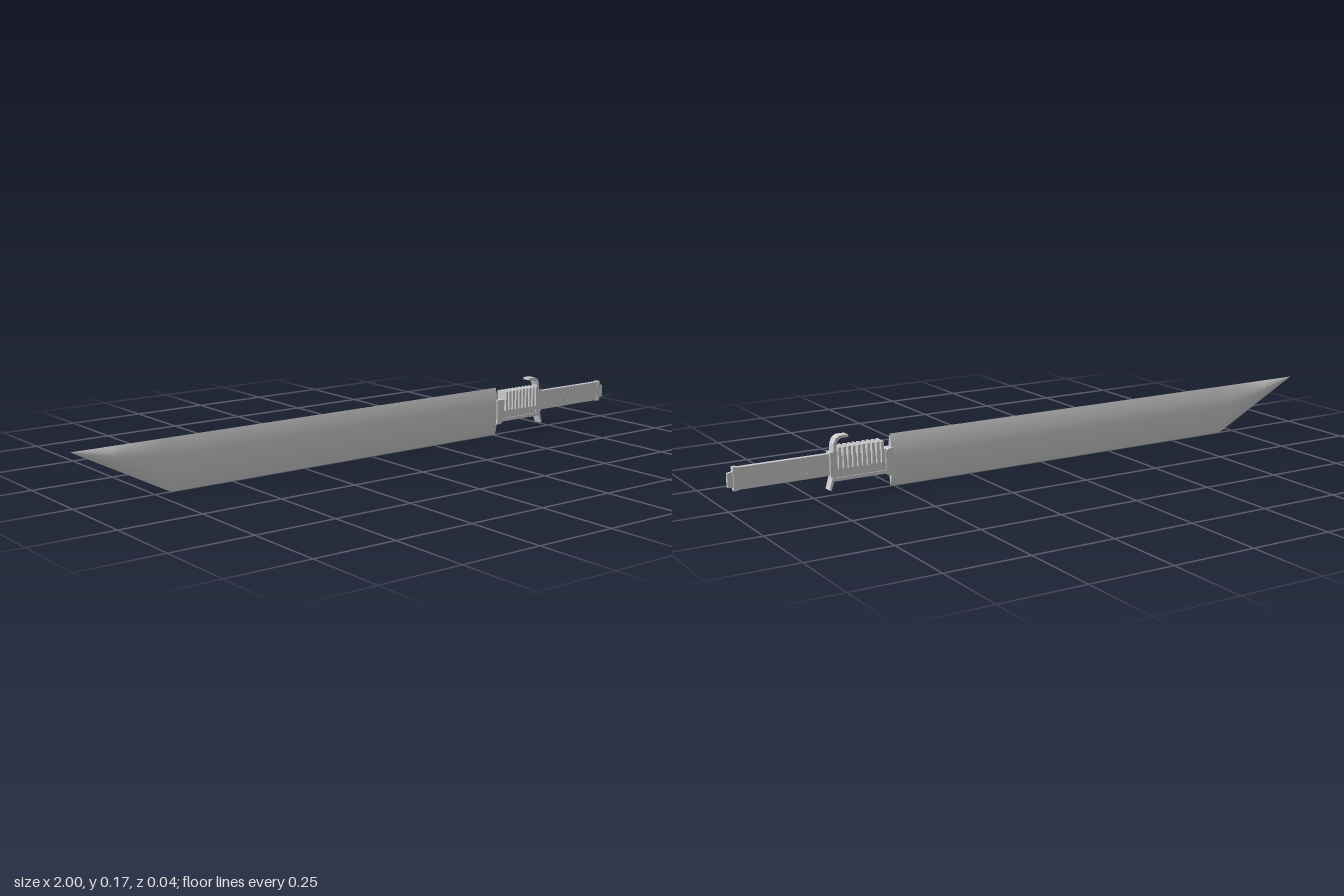
import * as THREE from 'three';
import { ParametricGeometry } from 'three/addons/geometries/ParametricGeometry.js';

const TOP = 0.155, TIP = -1, HEEL = -0.7, END = 0.51, THICK = 0.012;

export function createModel() {
  const model = new THREE.Group();
  const mat = new THREE.MeshStandardMaterial({ color: 0xcccccc });
  const flat = new THREE.MeshStandardMaterial({ color: 0xcccccc, flatShading: true });

  const add = (name, geometry, material = flat) => {
    const mesh = new THREE.Mesh(geometry, material);
    mesh.name = name;
    model.add(mesh);
    return mesh;
  };
  // Box given by its x range, y range and half depth
  const box = (name, x0, x1, y0, y1, hz, z = 0) =>
    add(name, new THREE.BoxGeometry(x1 - x0, y1 - y0, hz * 2))
      .position.set((x0 + x1) / 2, (y0 + y1) / 2, z);
  // Side outline extruded through the depth
  const plate = (name, points, hz) => {
    const shape = new THREE.Shape(points.map(([x, y]) => new THREE.Vector2(x, y)));
    const g = new THREE.ExtrudeGeometry(shape, { depth: hz * 2, bevelEnabled: false });
    return add(name, g.translate(0, 0, -hz));
  };

  // Blade: lens-shaped section, sharp along both edges, cut slanting to the tip
  const lens = (t) => 4 * t * (1 - t) * THICK;
  const bladeSide = (side) => (u, v, target) => {
    const s = side > 0 ? u : 1 - u;
    const k = Math.max(0.002, Math.min(1, s * 2));
    const x = s < 0.5 ? TIP + (HEEL - TIP) * s * 2 : HEEL + (END - HEEL) * (s * 2 - 1);
    const y = TOP * (1 - k) + TOP * k * v;
    target.set(x, y, side * lens(v) * Math.min(1, k / 0.4));
  };
  add('bladeFront', new ParametricGeometry(bladeSide(1), 40, 16), mat);
  add('bladeBack', new ParametricGeometry(bladeSide(-1), 40, 16), mat);
  add('bladeHeel', new ParametricGeometry(
    (u, v, p) => p.set(END, TOP * v, (1 - 2 * u) * lens(v)), 2, 16));

  // Collar and core of the grip
  plate('collar', [[0.505, 0.036], [0.522, 0.036], [0.53, 0.046], [0.53, 0.108],
    [0.522, 0.116], [0.505, 0.116]], 0.016);
  box('gripCore', 0.525, 0.69, 0.05, 0.114, 0.012);
  box('gripRail', 0.525, 0.695, 0.043, 0.053, 0.015);

  // Cooling-fin style ribs
  for (let i = 0; i < 10; i++) {
    const x = 0.538 + i * 0.0148;
    box('gripRib', x, x + 0.008, 0.078, 0.141, 0.021);
  }

  // Hooked guard
  plate('guard', [[0.645, 0.173], [0.672, 0.173], [0.684, 0.166], [0.691, 0.15],
    [0.694, 0.08], [0.698, 0.05], [0.707, 0.019], [0.701, 0.017],
    [0.690, 0.05], [0.685, 0.08], [0.682, 0.148], [0.677, 0.16],
    [0.668, 0.166], [0.645, 0.166]].reverse(), 0.014);
  box('guardBlock', 0.68, 0.702, 0.056, 0.128, 0.014);

  // Handle, end band and pommel
  box('handle', 0.69, 0.98, 0.06, 0.123, 0.0075);
  box('handleBand', 0.972, 0.984, 0.058, 0.125, 0.0085);
  plate('pommel', [[0.98, 0.062], [0.988, 0.068], [1, 0.069], [1, 0.109],
    [0.988, 0.111], [0.98, 0.118]], 0.0045);

  // Small rivets on both faces of the handle
  for (const side of [-1, 1])
    for (const y of [0.077, 0.106])
      for (let i = 0; i < 7; i++) {
        const x = 0.722 + i * 0.022;
        box('handleRivet', x, x + 0.004, y - 0.002, y + 0.002, 0.0006, side * 0.0077);
      }
  return model;
}
